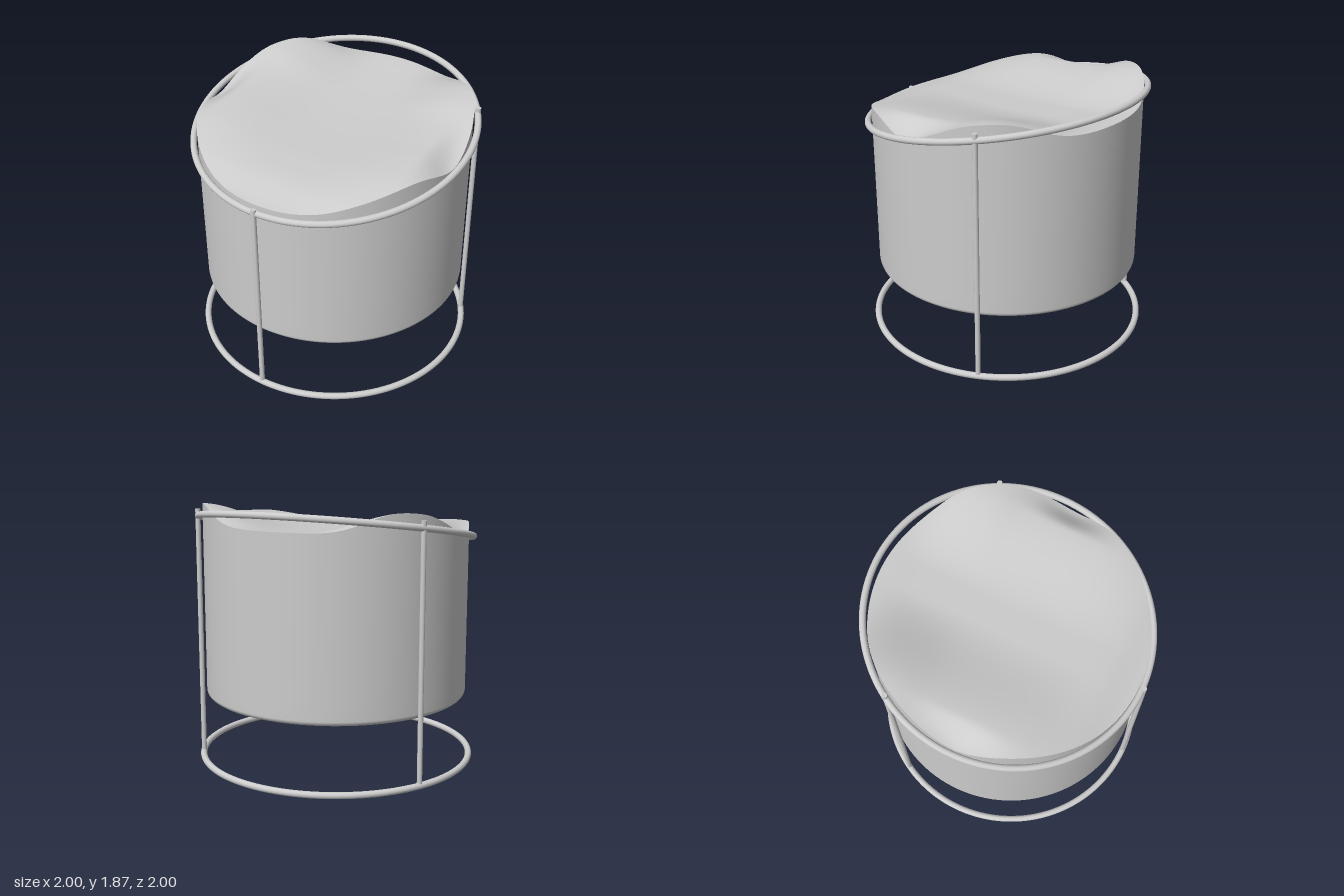
import * as THREE from 'three';
import { mergeVertices } from 'three/addons/utils/BufferGeometryUtils.js';

const R = 0.94; // drum radius

// Seat heights from front (z = R) to back (z = -R): centre line and side ridges
const profile = ys => new THREE.SplineCurve(ys.map((y, i) => new THREE.Vector2(i, y)));
const centreLine = profile([1.55, 1.615, 1.64, 1.65, 1.66, 1.675, 1.695, 1.72, 1.745]);
const ridgeLine = profile([1.55, 1.645, 1.71, 1.74, 1.758, 1.79, 1.85, 1.858, 1.75]);

function seatHeight(x, z) {
  const t = THREE.MathUtils.clamp((R - z) / (2 * R), 0, 1);
  const u = Math.abs(x);
  const low = centreLine.getPoint(t).y;
  const high = ridgeLine.getPoint(t).y;
  const lift = THREE.MathUtils.smoothstep(u, 0.1, 0.78);
  // the arms roll down at the sides
  const roll = 0.1 * Math.exp(-(((z - 0.05) / 0.25) ** 2)) * THREE.MathUtils.smoothstep(u, 0.74, R);
  return low + (high - low) * lift - roll;
}

// Skin over closed loops; point(angle, row) gives [x, y, z]
function loft(rows, point, cols = 128) {
  const pos = [], index = [];
  for (let j = 0; j < rows; j++)
    for (let i = 0; i <= cols; i++) pos.push(...point(((i % cols) / cols) * Math.PI * 2, j));
  for (let j = 0; j < rows - 1; j++)
    for (let i = 0; i < cols; i++) {
      const a = j * (cols + 1) + i, b = a + 1, d = a + cols + 1, c = d + 1;
      index.push(a, b, c, a, c, d);
    }
  let geo = new THREE.BufferGeometry();
  geo.setAttribute('position', new THREE.Float32BufferAttribute(pos, 3));
  geo.setIndex(index);
  geo = mergeVertices(geo);
  geo.computeVertexNormals();
  return geo;
}

export function createModel() {
  const group = new THREE.Group();
  const grey = new THREE.MeshStandardMaterial({ color: 0xcccccc });
  grey.name = 'light grey';
  const add = (name, geo) => {
    const mesh = new THREE.Mesh(geo, grey);
    mesh.name = name;
    group.add(mesh);
    return mesh;
  };

  // Drum body: flat bottom, small rounded edge, wall up to the seat edge
  const section = [[0, 0.48], [0.45, 0.48], [0.9, 0.48]];
  for (let k = 0; k <= 6; k++) {
    const a = (k / 6) * Math.PI / 2;
    section.push([R - 0.035 + 0.035 * Math.sin(a), 0.515 - 0.035 * Math.cos(a)]);
  }
  section.push([R, 0.6], [R, 1.0], [R, null]);
  add('drumBody', loft(section.length, (a, j) => {
    const [r, y] = section[j];
    const x = r * Math.sin(a), z = r * Math.cos(a);
    return [x, y ?? seatHeight(x, z), z];
  }));

  // Saddle-shaped seat
  const rings = 40;
  add('seat', loft(rings + 1, (a, j) => {
    const r = R * (1 - j / rings);
    const x = r * Math.sin(a), z = r * Math.cos(a);
    return [x, seatHeight(x, z), z];
  }));

  // Tubular frame: flat base ring and tilted upper ring
  const ring = new THREE.TorusGeometry(0.975, 0.023, 16, 128);
  const base = add('baseRing', ring);
  base.rotation.x = Math.PI / 2;
  base.position.y = 0.025;
  const upper = add('upperRing', ring);
  upper.rotation.x = Math.PI / 2 + 0.178;
  upper.position.y = 1.675;

  // Three uprights
  for (const [name, angle, top] of [
    ['frontLeg', 0, 1.535],
    ['backLeftLeg', (2 * Math.PI) / 3, 1.81],
    ['backRightLeg', (-2 * Math.PI) / 3, 1.81],
  ]) {
    const leg = add(name, new THREE.CylinderGeometry(0.018, 0.018, top - 0.03, 20));
    leg.position.set(0.973 * Math.sin(angle), (top + 0.03) / 2, 0.973 * Math.cos(angle));
  }
  return group;
}
